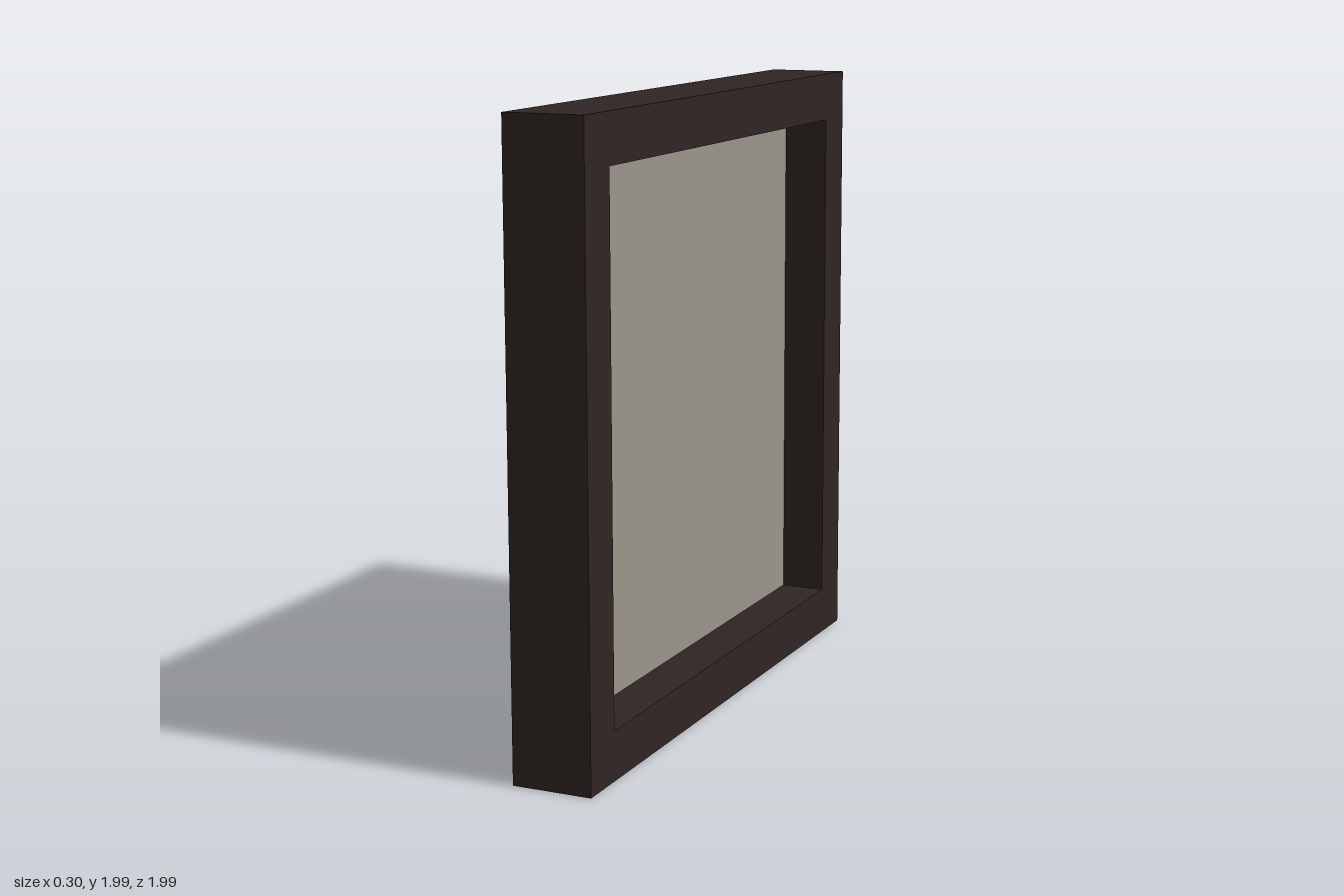
import * as THREE from 'three';

export function createModel() {
  const root = new THREE.Group();
  root.name = 'wallPanel';
  const darkWood = new THREE.MeshStandardMaterial({ color: 0x2f2423 });
  darkWood.name = 'dark wood';
  const greyCanvas = new THREE.MeshStandardMaterial({ color: 0x9a958c });
  greyCanvas.name = 'grey canvas';

  const half = 0.997, opening = 0.84, depth = 0.26, recess = 0.155;
  const backing = depth - recess;

  // The panel faces +x and leans back very slightly
  const panel = new THREE.Group();
  panel.name = 'panel';
  panel.position.set(0.0135, 1, 0);
  panel.rotation.z = 0.0027;
  root.add(panel);

  const add = (name, geometry, material, x, y = 0) => {
    const mesh = new THREE.Mesh(geometry, material);
    mesh.name = name;
    mesh.position.set(x, y, 0);
    panel.add(mesh);
    return mesh;
  };
  const square = (PathType, r) => new PathType(
    [[-r, -r], [r, -r], [r, r], [-r, r]].map(([a, b]) => new THREE.Vector2(a, b)));

  // Square frame around the recess
  const outline = square(THREE.Shape, half);
  outline.holes.push(square(THREE.Path, opening));
  const frame = new THREE.ExtrudeGeometry(outline, { depth: recess, bevelEnabled: false });
  frame.rotateY(Math.PI / 2);
  add('frame', frame, darkWood, depth / 2 - recess);

  // Solid backing and the canvas laid on it
  add('backing', new THREE.BoxGeometry(backing, half * 2, half * 2), darkWood, -depth / 2 + backing / 2);
  add('canvas', new THREE.BoxGeometry(0.006, opening * 2, opening * 2), greyCanvas, depth / 2 - recess + 0.003);

  // Mounting block on the back
  add('mountingBlock', new THREE.BoxGeometry(0.04, 0.256, 0.666), darkWood, -depth / 2 - 0.015, 0.13);

  return root;
}
